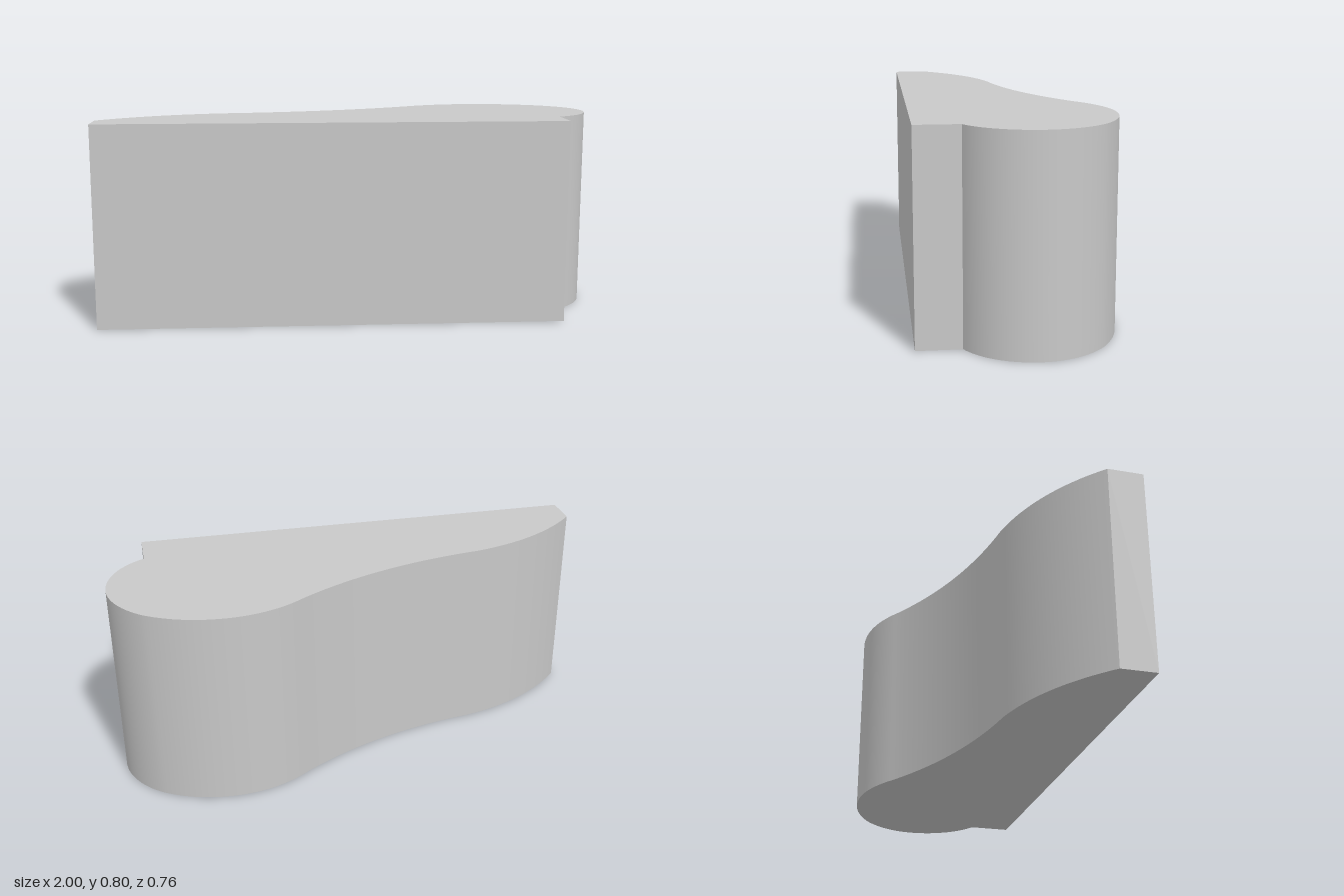
import * as THREE from 'three';
import { toCreasedNormals } from 'three/addons/utils/BufferGeometryUtils.js';

export function createModel() {
  const group = new THREE.Group();
  const grey = new THREE.MeshStandardMaterial({ color: 0xc8c8c8 });
  grey.name = 'light grey';

  // Plan outline: straight front, stepped right end, S-curved back
  const outline = new THREE.Shape();
  outline.moveTo(-1, -0.38);
  outline.lineTo(0.84, -0.38);
  outline.lineTo(0.84, -0.21);
  // rounded bulb
  outline.bezierCurveTo(0.94, -0.16, 1, -0.06, 1, 0.05);
  outline.bezierCurveTo(1, 0.14, 0.95, 0.23, 0.87, 0.29);
  outline.bezierCurveTo(0.78, 0.35, 0.68, 0.38, 0.57, 0.38);
  outline.bezierCurveTo(0.46, 0.38, 0.36, 0.345, 0.27, 0.28);
  // hollow, then rounded tail
  outline.bezierCurveTo(0.03, 0.13, -0.24, 0.05, -0.5, 0.02);
  outline.bezierCurveTo(-0.69, -0.015, -0.86, -0.1, -1, -0.24);
  outline.closePath();

  // Extrude upwards
  const solid = new THREE.ExtrudeGeometry(outline, { depth: 0.8, bevelEnabled: false, curveSegments: 16 });
  solid.rotateX(-Math.PI / 2);

  const body = new THREE.Mesh(toCreasedNormals(solid, 0.5), grey);
  body.name = 'curvedBlock';
  group.add(body);
  return group;
}
